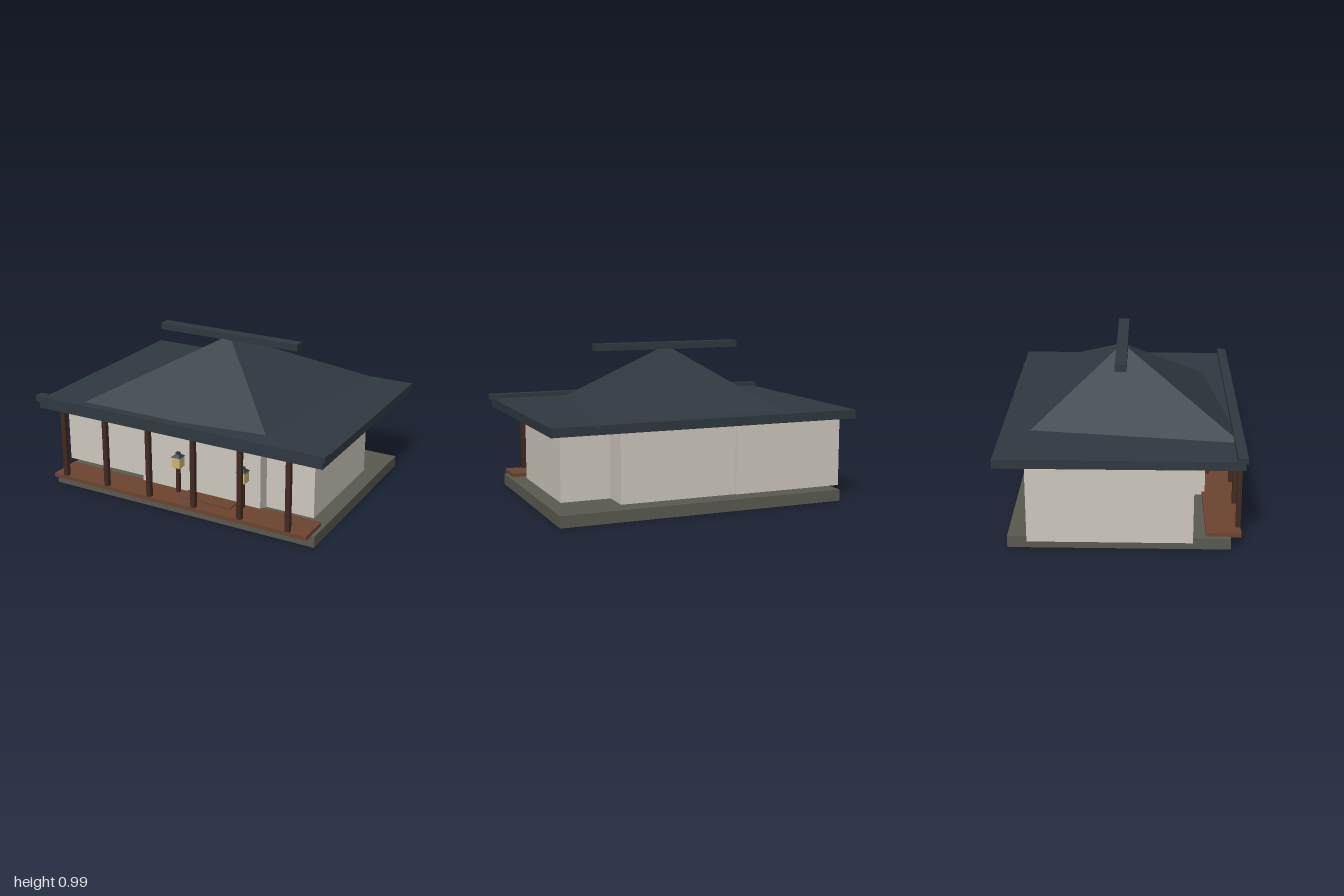
import * as THREE from 'three';

const mat = (name, color) => {
  const m = new THREE.MeshStandardMaterial({ color });
  m.name = name;
  return m;
};

export function createModel() {
  const roofMat = mat('slate roof', 0x2f3940);
  const wallMat = mat('plaster', 0xcfc9bf);
  const stoneMat = mat('stone', 0x5a5a50);
  const deckMat = mat('deck wood', 0x6b4430);
  const darkMat = mat('dark wood', 0x422a20);
  const lampMat = mat('lamp paper', 0xcdb478);

  const house = new THREE.Group();
  house.name = 'house';

  // Box given by its limits on each axis
  const box = (name, m, [x0, x1], [y0, y1], [z0, z1], parent = house) => {
    const mesh = new THREE.Mesh(new THREE.BoxGeometry(x1 - x0, y1 - y0, z1 - z0), m);
    mesh.position.set((x0 + x1) / 2, (y0 + y1) / 2, (z0 + z1) / 2);
    mesh.name = name;
    parent.add(mesh);
    return mesh;
  };
  // Four-sided pyramid, base at y = 0, corners on the x and z axes
  const pyramid = (r, h) =>
    new THREE.ConeGeometry(r, h, 4).toNonIndexed().translate(0, h / 2, 0);

  // Base and veranda
  box('foundation', stoneMat, [-0.92, 0.92], [0, 0.072], [-0.655, 0.655]);
  box('verandaDeck', deckMat, [-0.897, 0.897], [0.068, 0.094], [0.51, 0.716]);
  box('doorStep', deckMat, [0, 0.35], [0.09, 0.103], [0.51, 0.63]);

  // Three overlapping room blocks
  box('leftRoom', wallMat, [-0.982, -0.25], [0.072, 0.53], [-0.533, 0.43]);
  box('middleRoom', wallMat, [-0.335, 0.503], [0.072, 0.53], [-0.522, 0.528]);
  box('rightRoom', wallMat, [0.4, 0.82], [0.072, 0.53], [-0.338, 0.446]);

  // Veranda posts
  for (let i = 0; i < 6; i++) {
    const x = -0.808 + i * 0.316;
    box('verandaPost', darkMat, [x - 0.015, x + 0.015], [0.09, 0.535], [0.687, 0.715]);
  }

  // Entrance canopy and lintel
  const canopy = box('entranceCanopy', roofMat, [-0.07, 0.418], [0.518, 0.538], [0.41, 0.65]);
  canopy.rotation.x = -0.125;
  box('doorLintel', darkMat, [0.07, 0.285], [0.482, 0.522], [0.52, 0.532]);

  // Roof: eave slab, front beam, skewed pyramid and ridge
  box('eaveSlab', roofMat, [-0.983, 0.983], [0.533, 0.587], [-0.717, 0.717]);
  box('frontEaveBeam', roofMat, [-1, 1], [0.58, 0.614], [0.67, 0.729]);
  const roof = new THREE.Mesh(pyramid(1, 0.39), roofMat);
  roof.geometry.computeVertexNormals();
  roof.name = 'hippedRoof';
  roof.scale.set(1.026, 1, 0.785);
  roof.rotation.y = Math.PI / 4;
  roof.position.y = 0.578;
  house.add(roof);
  box('ridgeBeam', roofMat, [-0.49, 0.49], [0.945, 0.988], [-0.035, 0.035]);

  // Lanterns on stands
  for (const x of [-0.053, 0.4]) {
    const lantern = new THREE.Group();
    lantern.name = 'lantern';
    lantern.position.set(x, 0, 0.56);
    box('lanternPost', darkMat, [-0.011, 0.011], [0.09, 0.265], [-0.011, 0.011], lantern);
    box('lanternLamp', lampMat, [-0.028, 0.028], [0.263, 0.335], [-0.028, 0.028], lantern);
    const cap = new THREE.Mesh(pyramid(0.046, 0.028), roofMat);
    cap.geometry.computeVertexNormals();
    cap.name = 'lanternCap';
    cap.rotation.y = Math.PI / 4;
    cap.position.y = 0.331;
    lantern.add(cap);
    box('lanternFinial', roofMat, [-0.011, 0.011], [0.34, 0.36], [-0.011, 0.011], lantern);
    house.add(lantern);
  }

  return house;
}
